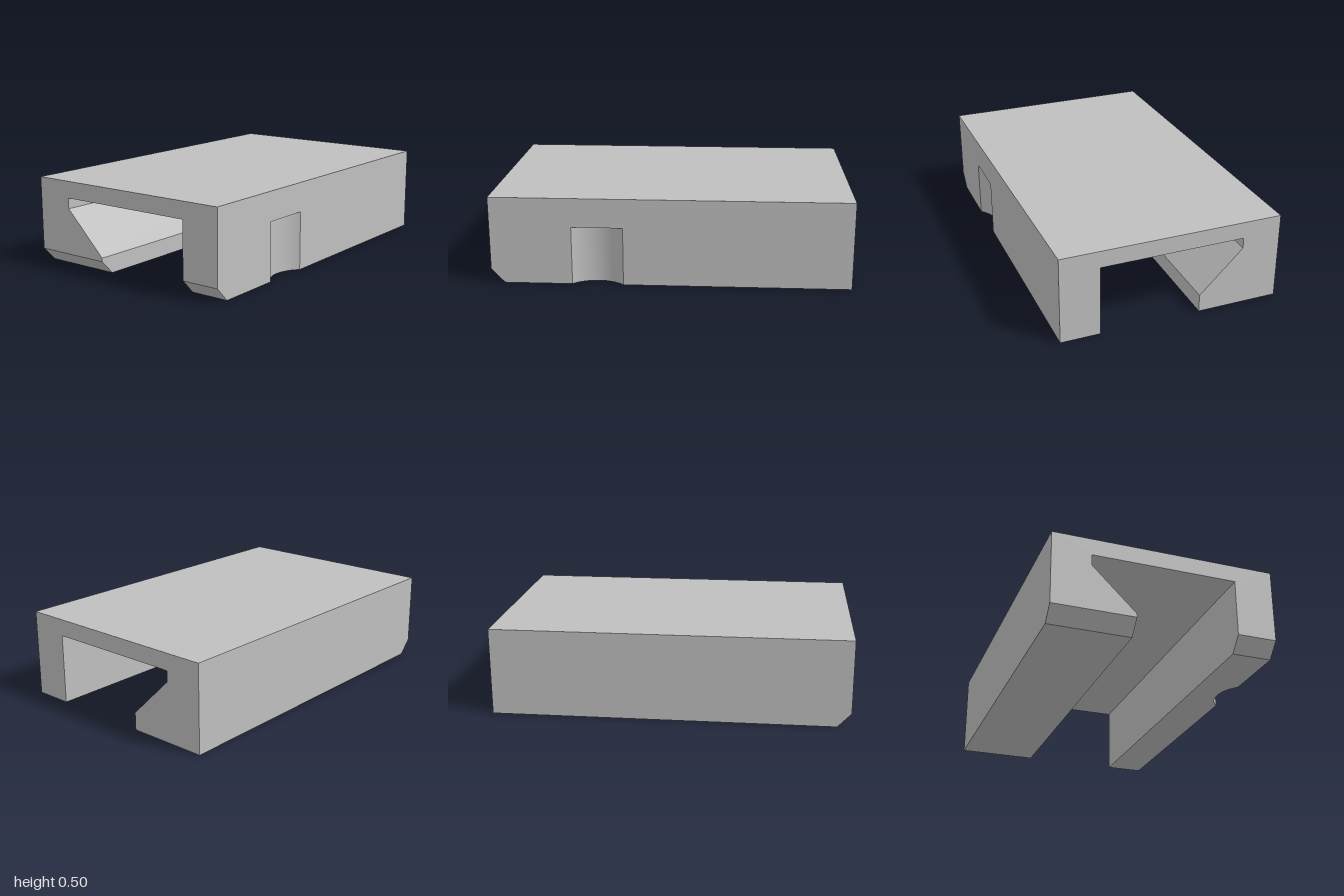
import * as THREE from 'three';
import { mergeGeometries, mergeVertices } from 'three/addons/utils/BufferGeometryUtils.js';

const W = 0.627, H = 0.495;          // half width, height
const FOOT = 0.08, FOOT_Z = 0.925;   // front chamfer: height, and where it meets the sole
const SLOT_R = 0.405, LIP = -0.165;  // inner faces of the two rails
const N0 = 0.26, N1 = 0.545, NH = 0.33, ND = 0.06; // thumb notch: z range, height, depth

const V = (x, y, z) => new THREE.Vector3(x, y, z);

// flat polygon whose corners run counter-clockwise seen from outside
function face(pts) {
  const n = V(0, 0, 0);
  pts.forEach((p, i) => n.add(p.clone().cross(pts[(i + 1) % pts.length])));
  n.normalize();
  const u = (Math.abs(n.y) > 0.9 ? V(1, 0, 0) : V(0, 1, 0)).cross(n).normalize();
  const v = n.clone().cross(u);
  const flat = pts.map(p => new THREE.Vector2(p.dot(u), p.dot(v)));
  const pos = [];
  for (const [a, b, c] of THREE.ShapeUtils.triangulateShape(flat, [])) {
    const A = pts[a], B = pts[b], C = pts[c];
    const turn = B.clone().sub(A).cross(C.clone().sub(A)).dot(n);
    for (const p of turn > 0 ? [A, B, C] : [A, C, B]) pos.push(p.x, p.y, p.z);
  }
  const g = new THREE.BufferGeometry();
  g.setAttribute('position', new THREE.Float32BufferAttribute(pos, 3));
  return g;
}

export function createModel() {
  const group = new THREE.Group();
  const grey = new THREE.MeshStandardMaterial({ color: 0xbfbfbf });
  grey.name = 'plain grey';

  function add(name, faces, smooth = false) {
    let g = mergeGeometries(faces);
    if (smooth) g = mergeVertices(g);
    g.computeVertexNormals();
    const mesh = new THREE.Mesh(g, grey);
    mesh.name = name;
    group.add(mesh);
  }

  // channel cross-section, counter-clockwise from the front
  const profile = [
    [-W, 0], [LIP, 0], [LIP, FOOT], [LIP, 0.1], [-0.41, 0.34], [-0.41, 0.4],
    [SLOT_R, 0.4], [SLOT_R, FOOT], [SLOT_R, 0], [W, 0], [W, FOOT], [W, H], [-W, H], [-W, FOOT],
  ];
  const front = ([x, y]) => V(x, y, y < FOOT ? FOOT_Z : 1);
  const back = ([x, y]) => V(x, y, -1);

  // long walls; the notched side and its sole (edges 8 to 10) are made below
  const walls = [];
  profile.forEach((a, i) => {
    if (i >= 8 && i <= 10) return;
    const b = profile[(i + 1) % profile.length];
    walls.push(face([front(a), back(a), back(b), front(b)]));
  });
  add('channelWalls', walls);

  // end faces and sloping front feet
  add('frontEnd', [face(profile.filter(p => p[1] >= FOOT).map(front))]);
  add('backEnd', [face(profile.map(back).reverse())]);
  const foot = (x0, x1) =>
    face([V(x0, 0, FOOT_Z), V(x1, 0, FOOT_Z), V(x1, FOOT, 1), V(x0, FOOT, 1)]);
  add('frontFeet', [foot(-W, LIP), foot(SLOT_R, W)]);

  // notch curve: shallow circular arc cut into the left side
  const half = (N1 - N0) / 2, mid = (N0 + N1) / 2;
  const R = (half * half + ND * ND) / (2 * ND), sweep = Math.asin(half / R);
  const arc = y => Array.from({ length: 21 }, (_, i) => {
    const t = sweep * (i / 10 - 1);
    return V(W - ND + R - R * Math.cos(t), y, mid + R * Math.sin(t));
  });

  // side and sole around the notch
  add('notchedSide', [
    face([V(W, 0, FOOT_Z), V(W, 0, N1), V(W, NH, N1), V(W, NH, N0), V(W, 0, N0),
      V(W, 0, -1), V(W, H, -1), V(W, H, 1), V(W, FOOT, 1)]),
    face([V(SLOT_R, 0, -1), V(W, 0, -1), ...arc(0), V(W, 0, FOOT_Z), V(SLOT_R, 0, FOOT_Z)]),
  ]);

  // notch interior
  const low = arc(0), high = arc(NH);
  add('notchCeiling', [face(arc(NH).reverse())]);
  add('notchWall', low.slice(1).map((p, i) => face([low[i], high[i], high[i + 1], p])), true);

  return group;
}
